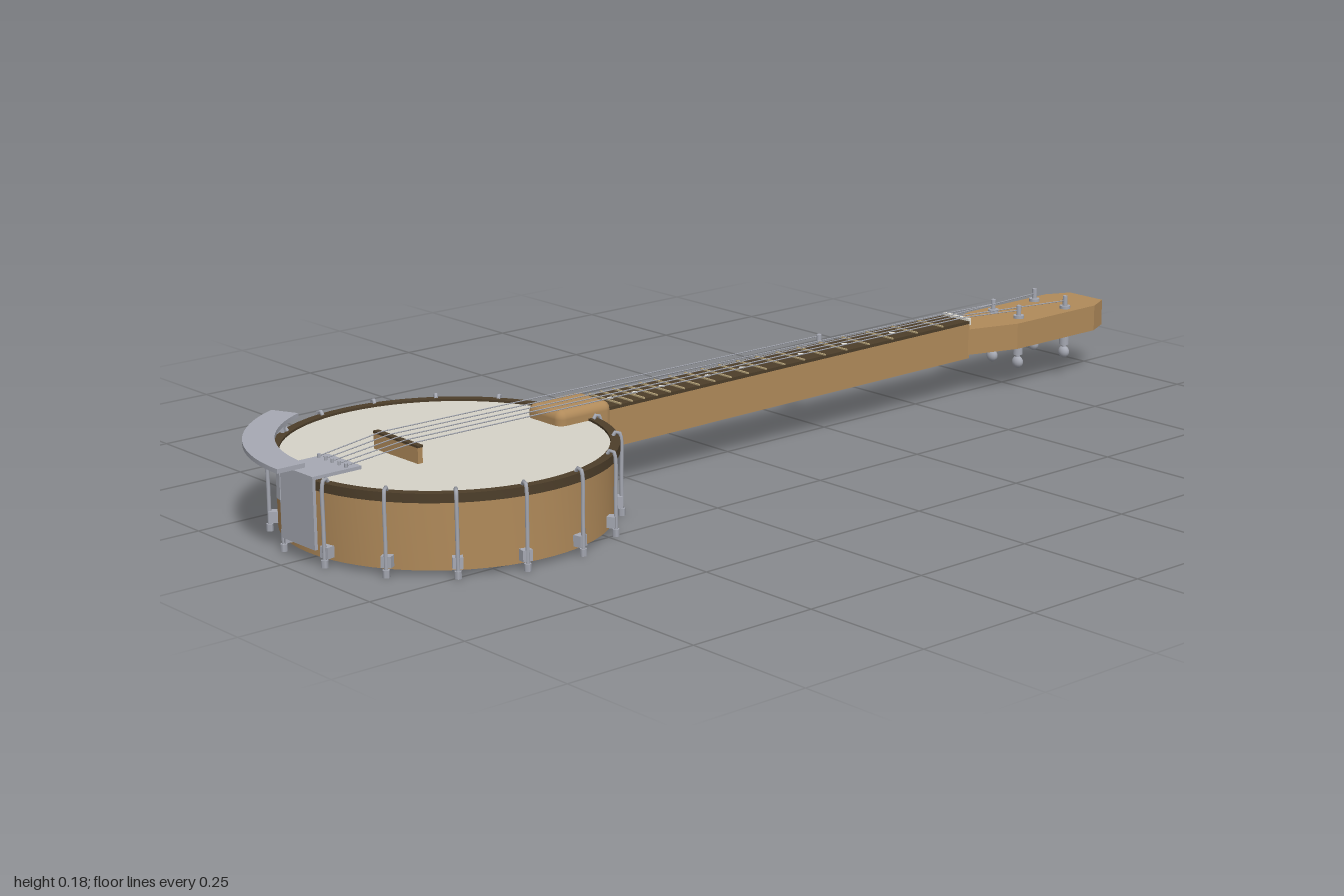
import * as THREE from 'three';
import { toCreasedNormals } from 'three/addons/utils/BufferGeometryUtils.js';
import { RoundedBoxGeometry } from 'three/addons/geometries/RoundedBoxGeometry.js';

const POT_Z = 0.655;

function material(name, color) {
  const m = new THREE.MeshStandardMaterial({ color });
  m.name = name;
  return m;
}

export function createModel() {
  const wood = material('wood', 0xb08a5a);
  const dark = material('darkWood', 0x4d3e2a);
  const metal = material('metal', 0xa6a9b3);
  const skin = material('drumSkin', 0xd6d3c8);
  const pearl = material('pearl', 0xf0ece0);
  const brass = material('brass', 0xb3a077);

  const model = new THREE.Group();
  model.name = 'banjo';

  const add = (name, geometry, mat, x = 0, y = 0, z = 0, parent = model) => {
    const mesh = new THREE.Mesh(geometry, mat);
    mesh.name = name;
    mesh.position.set(x, y, z);
    parent.add(mesh);
    return mesh;
  };
  const box = (name, mat, w, h, d, x, y, z, parent) =>
    add(name, new THREE.BoxGeometry(w, h, d), mat, x, y, z, parent);
  const post = (name, mat, r, y0, y1, x, z, parent, sides = 12) =>
    add(name, new THREE.CylinderGeometry(r, r, y1 - y0, sides), mat, x, (y0 + y1) / 2, z, parent);
  // Flat shape drawn in x and z, given a height
  const slab = (name, mat, shape, y0, y1, z = 0) => {
    const g = new THREE.ExtrudeGeometry(shape, { depth: y1 - y0, bevelEnabled: false, curveSegments: 24 });
    return add(name, g.rotateX(Math.PI / 2), mat, 0, y1, z);
  };
  // Outline mirrored from its right half
  const mirrored = (half) => new THREE.Shape([
    ...half.map(([x, z]) => new THREE.Vector2(x, z)),
    ...half.slice().reverse().map(([x, z]) => new THREE.Vector2(-x, z)),
  ]);
  const ring = (name, mat, inner, outer, y0, y1) => {
    const p = [[outer, y0], [outer, y1], [inner, y1], [inner, y0], [outer, y0]];
    const g = new THREE.LatheGeometry(p.map(([r, y]) => new THREE.Vector2(r, y)), 64);
    return add(name, toCreasedNormals(g, 0.6), mat, 0, 0, POT_Z);
  };

  // Pot
  ring('rim', wood, 0.262, 0.29, 0.01, 0.132);
  ring('tensionHoop', dark, 0.284, 0.301, 0.129, 0.145);
  add('drumHead', new THREE.CylinderGeometry(0.286, 0.286, 0.008, 64), skin, 0, 0.137, POT_Z);
  const rod = add('coordinatorRod', new THREE.CylinderGeometry(0.007, 0.007, 0.5, 12), metal, 0, 0.05, 0.675);
  rod.rotation.x = Math.PI / 2;

  // Tension hooks, each made facing +z and turned around the pot
  const hookPath = new THREE.CatmullRomCurve3([
    [0.304, 0.005], [0.304, 0.07], [0.304, 0.14], [0.301, 0.15], [0.295, 0.152], [0.29, 0.145],
  ].map(([r, y]) => new THREE.Vector3(0, y, r)));
  const hookGeometry = new THREE.TubeGeometry(hookPath, 20, 0.0035, 8);
  for (let i = 0; i < 16; i++) {
    const hook = new THREE.Group();
    hook.name = 'tensionHook';
    hook.position.z = POT_Z;
    hook.rotation.y = (i + 0.5) * Math.PI / 8;
    add('hookRod', hookGeometry, metal, 0, 0, 0, hook);
    box('hookShoe', metal, 0.018, 0.02, 0.02, 0, 0.026, 0.295, hook);
    post('hookNut', metal, 0.0065, 0, 0.013, 0, 0.304, hook, 6);
    model.add(hook);
  }

  // Armrest, a curved plate on two brackets
  const start = Math.PI / 2, sweep = 65 * Math.PI / 180;
  const arc = new THREE.Shape();
  arc.absarc(0, 0, 0.345, start, start + sweep, false);
  arc.absarc(0, 0, 0.29, start + sweep, start, true);
  slab('armrest', metal, arc, 0.158, 0.166, POT_Z);
  for (const t of [0.15, 0.85]) {
    const a = -t * sweep;
    const b = box('armrestBracket', metal, 0.014, 0.065, 0.022,
      0.303 * Math.sin(a), 0.1275, POT_Z + 0.303 * Math.cos(a));
    b.rotation.y = a;
  }

  // Tailpiece
  box('tailpieceFront', metal, 0.096, 0.124, 0.006, 0, 0.091, 0.961);
  box('tailpieceTop', metal, 0.096, 0.006, 0.099, 0, 0.153, 0.9145);

  // Bridge
  box('bridge', wood, 0.126, 0.03, 0.01, 0, 0.155, 0.755);
  box('bridgeCap', dark, 0.128, 0.004, 0.011, 0, 0.171, 0.755);

  // Neck, fingerboard, heel and peghead
  const neckHalf = (z) => 0.034 + (z + 0.615) * 0.0113;
  const taper = mirrored([[neckHalf(-0.615), -0.615], [neckHalf(0.34), 0.34]]);
  slab('neck', wood, taper, 0.08, 0.15);
  slab('fingerboard', dark, taper, 0.15, 0.156);
  add('heel', new RoundedBoxGeometry(0.096, 0.148, 0.122, 4, 0.016), wood, 0, 0.094, 0.379);
  slab('peghead', wood, mirrored([
    [0.034, -0.612], [0.067, -0.72], [0.067, -0.95], [0.044, -1],
  ]), 0.087, 0.139);
  box('nut', pearl, 0.068, 0.014, 0.008, 0, 0.154, -0.615);

  // Frets by equal temperament, with position dots between them
  const SCALE = 1.37;
  const fretZ = (n) => -0.615 + SCALE * (1 - 2 ** (-n / 12));
  for (let n = 1; n <= 19; n++) {
    const z = fretZ(n);
    box('fret', brass, 2 * neckHalf(z), 0.003, 0.004, 0, 0.157, z);
  }
  for (const n of [3, 5, 7, 10, 12, 15, 17, 19]) {
    post('positionDot', pearl, 0.006, 0.155, 0.157, 0, (fretZ(n) + fretZ(n - 1)) / 2);
  }

  // Four tuning pegs through the peghead
  const pegs = [[-0.035, -0.757], [-0.042, -0.888], [0.042, -0.888], [0.035, -0.757]];
  for (const [x, z] of pegs) {
    const peg = new THREE.Group();
    peg.name = 'tuningPeg';
    peg.position.set(x, 0, z);
    post('pegPost', metal, 0.005, 0.05, 0.165, 0, 0, peg);
    post('pegCollar', metal, 0.011, 0.139, 0.145, 0, 0, peg);
    post('pegHousing', metal, 0.01, 0.064, 0.088, 0, 0, peg);
    const knob = add('pegKnob', new THREE.SphereGeometry(0.014, 14, 10), metal, 0, 0.048, 0, peg);
    knob.scale.set(0.9, 0.9, 0.7);
    model.add(peg);
  }

  // Short drone string peg on the side of the neck
  const shaft = add('dronePegShaft', new THREE.CylinderGeometry(0.005, 0.005, 0.05, 12), metal, -0.055, 0.128, -0.275);
  shaft.rotation.z = Math.PI / 2;
  post('dronePegPost', metal, 0.005, 0.12, 0.172, -0.042, -0.275);
  add('dronePegKnob', new THREE.SphereGeometry(0.014, 14, 10), metal, -0.081, 0.128, -0.275).scale.x = 0.75;

  // Strings from tailpiece over bridge and nut to the pegs
  const stringRun = (points) => {
    const path = new THREE.CurvePath();
    const v = points.map((p) => new THREE.Vector3(...p));
    for (let i = 1; i < v.length; i++) path.add(new THREE.LineCurve3(v[i - 1], v[i]));
    for (const line of path.curves) {
      add('string', new THREE.TubeGeometry(line, 1, 0.0011, 5), metal);
    }
  };
  for (let i = 0; i < 5; i++) {
    const x = -0.046 + i * 0.023;
    post('stringPin', metal, 0.003, 0.155, 0.163, x * 0.85, 0.89);
    const tail = [[x * 0.85, 0.159, 0.89], [x, 0.174, 0.755]];
    if (i === 0) {
      stringRun([...tail, [-0.042, 0.169, -0.275]]);
    } else {
      const [px, pz] = pegs[i - 1];
      stringRun([...tail, [-0.024 + (i - 1) * 0.016, 0.162, -0.615], [px, 0.155, pz]]);
    }
  }

  return model;
}
